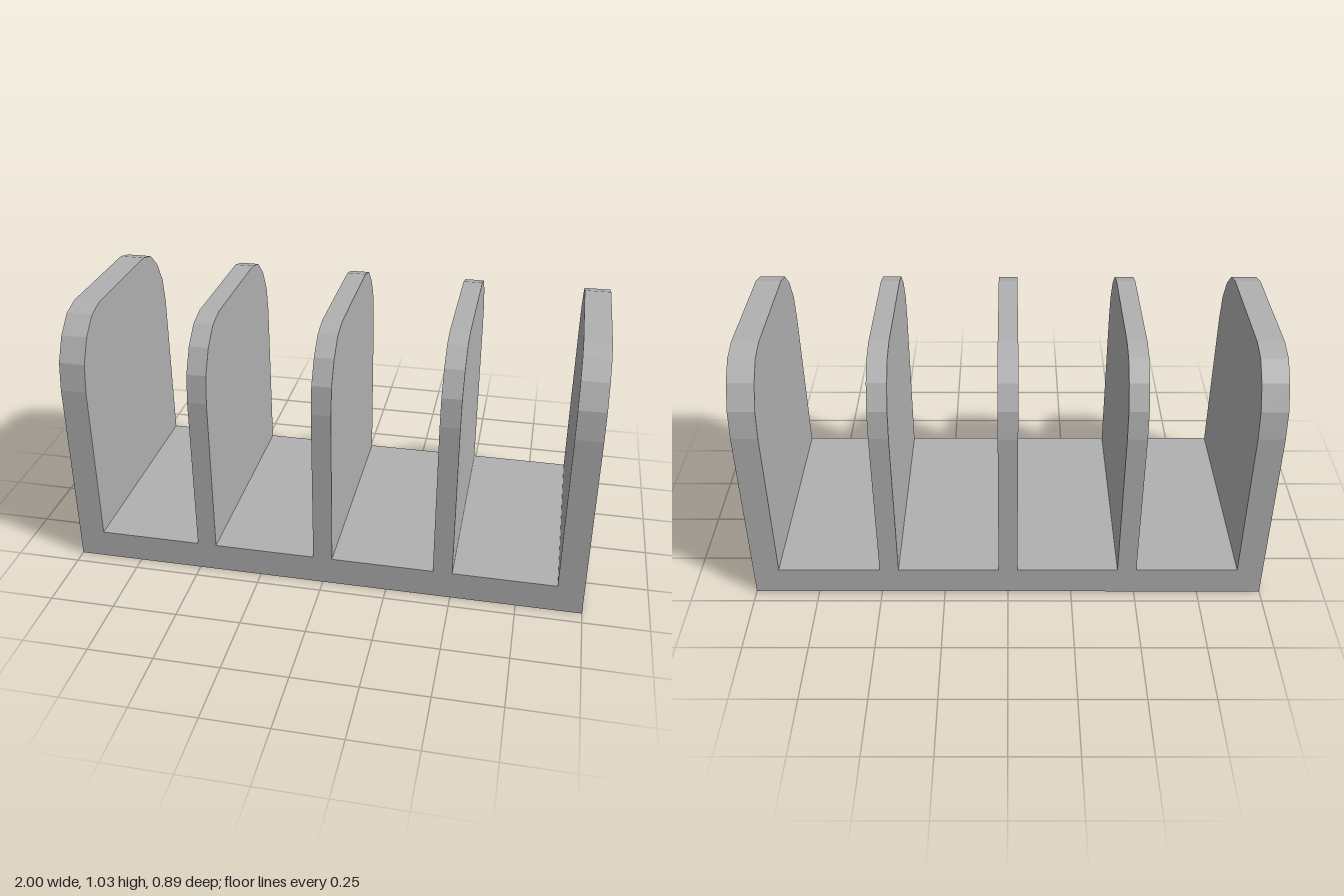
import * as THREE from 'three';

const DEPTH = 0.89, BASE_TOP = 0.113, INNER = 0.9;

// Upright panel with faceted rounded top corners, spanning x0..x1
function panel(name, x0, x1, bottom, material) {
  const h = DEPTH / 2;
  const corner = [[h, 0.745], [0.43, 0.853], [0.382, 0.944], [0.315, 1.006], [0.237, 1.027]];
  const right = [[h, bottom], ...corner];
  const left = right.map(([z, y]) => [-z, y]).reverse();
  const shape = new THREE.Shape([...right, ...left].map(([z, y]) => new THREE.Vector2(z, y)));
  const geometry = new THREE.ExtrudeGeometry(shape, { depth: x1 - x0, bevelEnabled: false });
  geometry.rotateY(Math.PI / 2).translate(x0, 0, 0);
  const mesh = new THREE.Mesh(geometry, material);
  mesh.name = name;
  return mesh;
}

export function createModel() {
  const group = new THREE.Group();
  group.name = 'slottedRack';
  const grey = new THREE.MeshStandardMaterial({ color: 0xb0b0b0 });
  grey.name = 'grey';

  // Floor between the end panels
  const base = new THREE.Mesh(new THREE.BoxGeometry(INNER * 2, BASE_TOP, DEPTH), grey);
  base.position.y = BASE_TOP / 2;
  base.name = 'base';
  group.add(base);

  // Thick end panels reach the ground
  group.add(panel('rightEnd', -1, -INNER, 0, grey), panel('leftEnd', INNER, 1, 0, grey));

  // Thinner dividers stand on the floor
  [['rightDivider', -0.467], ['middleDivider', 0], ['leftDivider', 0.467]].forEach(([name, x]) =>
    group.add(panel(name, x - 0.037, x + 0.037, BASE_TOP, grey)));

  return group;
}
